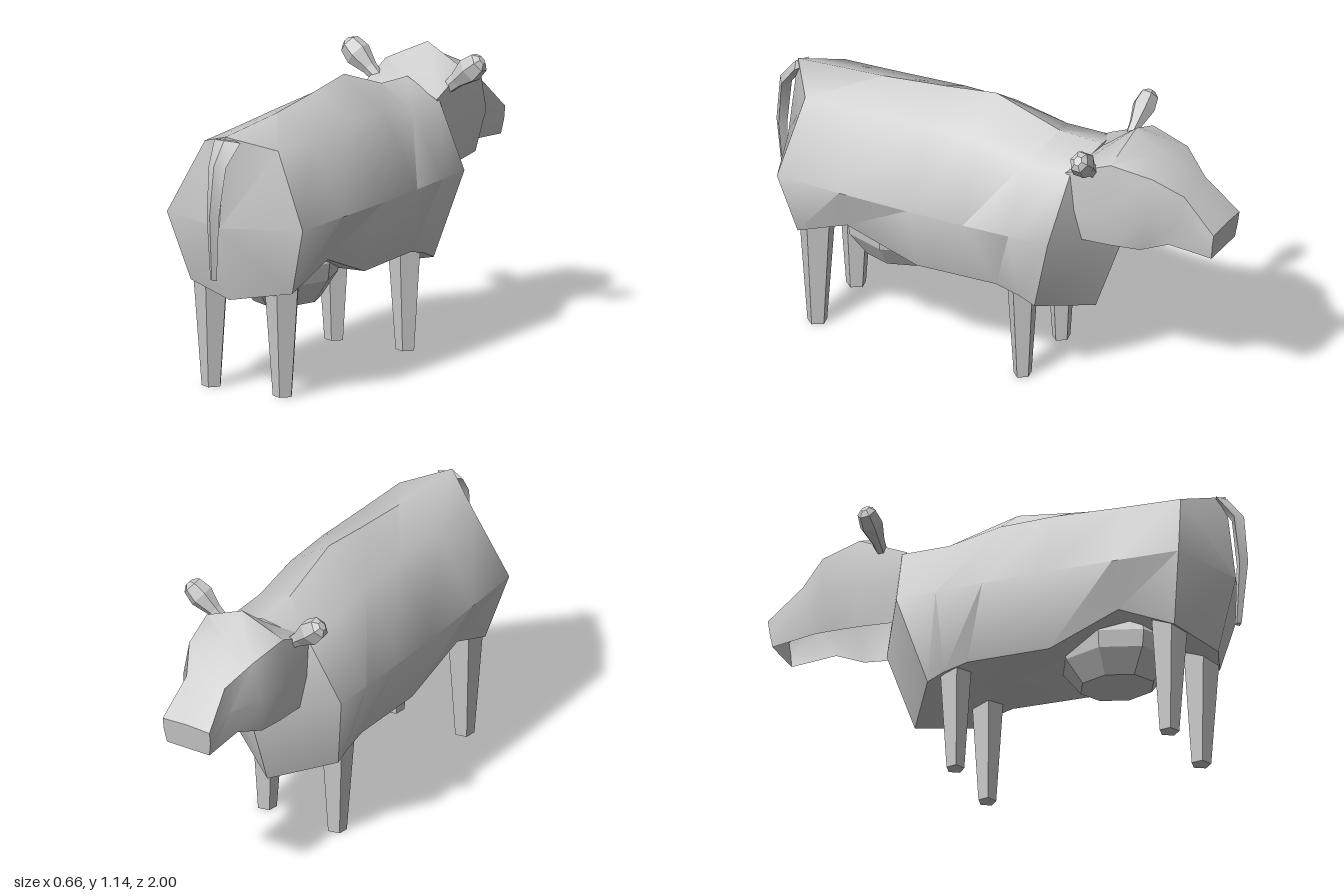
import * as THREE from 'three';
import { toCreasedNormals } from 'three/addons/utils/BufferGeometryUtils.js';

const grey = new THREE.MeshStandardMaterial({ color: 0xcccccc, side: THREE.DoubleSide });
const greyFlat = new THREE.MeshStandardMaterial({ color: 0xcccccc, side: THREE.DoubleSide, flatShading: true });

// Half section (x >= 0, top to bottom) mirrored into a full ring
const mirror = half => [
  ...half.filter(p => p[0] > 0).reverse().map(([x, y, z]) => [-x, y, z]),
  ...half,
];

// Skin between successive rings, with optional fan caps to a centre point
function loft(rings, { closed = true, startCap, endCap } = {}) {
  const n = rings[0].length;
  const pos = [];
  const tri = (...pts) => pts.forEach(p => pos.push(...p));
  for (let i = 0; i < rings.length - 1; i++) {
    for (let j = 0; j < (closed ? n : n - 1); j++) {
      const k = (j + 1) % n;
      const a = rings[i][j], b = rings[i][k], c = rings[i + 1][j], d = rings[i + 1][k];
      tri(a, b, c);
      tri(b, d, c);
    }
  }
  const first = rings[0], last = rings[rings.length - 1];
  for (let j = 0; j < n; j++) {
    const k = (j + 1) % n;
    if (startCap) tri(startCap, first[k], first[j]);
    if (endCap) tri(endCap, last[j], last[k]);
  }
  const g = new THREE.BufferGeometry();
  g.setAttribute('position', new THREE.Float32BufferAttribute(pos, 3));
  return toCreasedNormals(g, 0.78);
}

export function createModel() {
  const model = new THREE.Group();
  const add = (name, geometry, material = grey) => {
    const mesh = new THREE.Mesh(geometry, material);
    mesh.name = name;
    model.add(mesh);
    return mesh;
  };

  // Body: sections from rump to chest (ridge, shoulder, flank, lower edge, belly)
  const body = [
    [[0, 1.06, 0.9], [0.17, 1.0, 0.78], [0.315, 0.705, 0.83], [0.235, 0.43, 0.78], [0, 0.395, 0.87]],
    [[0, 1.08, 0.52], [0.175, 1.005, 0.54], [0.325, 0.705, 0.55], [0.255, 0.525, 0.55], [0, 0.52, 0.55]],
    [[0, 1.107, 0.25], [0.18, 1.015, 0.25], [0.33, 0.705, 0.25], [0.24, 0.415, 0.25], [0, 0.41, 0.25]],
    [[0, 1.135, 0.02], [0.18, 1.01, 0.02], [0.328, 0.705, 0], [0.235, 0.42, -0.1], [0, 0.42, -0.1]],
    [[0, 1.04, -0.26], [0.18, 0.965, -0.2], [0.322, 0.705, -0.2], [0.235, 0.395, -0.2], [0, 0.38, -0.24]],
    [[0, 1.03, -0.45], [0.18, 0.965, -0.4], [0.315, 0.705, -0.37], [0.235, 0.365, -0.27], [0, 0.29, -0.42]],
  ];
  add('body', loft(body.map(mirror), { startCap: [0, 0.7, 0.945], endCap: [0, 0.62, -0.54] }));

  // Head: shell open at the neck and under the jaw
  const head = [
    [[0, 1.02, -0.45], [0.18, 0.97, -0.38], [0.185, 0.81, -0.41], [0.17, 0.68, -0.44]],
    [[0, 1.14, -0.6], [0.18, 1.055, -0.58], [0.195, 0.86, -0.58], [0.17, 0.688, -0.58]],
    [[0, 1.065, -0.72], [0.15, 1.02, -0.75], [0.185, 0.86, -0.74], [0.16, 0.695, -0.7]],
    [[0, 0.955, -0.86], [0.09, 0.94, -0.86], [0.105, 0.83, -0.85], [0.11, 0.72, -0.8]],
    [[0, 0.815, -1], [0.11, 0.81, -1], [0.11, 0.76, -0.993], [0.1, 0.7, -0.985]],
  ];
  add('head', loft(head.map(mirror), { closed: false, endCap: [0, 0.75, -0.992] }));

  // Ears: six-sided bulbs leaning outward
  const earProfile = [[0, 0], [0.025, 0], [0.032, 0.06], [0.056, 0.135], [0.045, 0.19], [0.02, 0.208], [0, 0.208]]
    .map(([r, y]) => new THREE.Vector2(r, y));
  for (const side of [1, -1]) {
    const ear = add(side > 0 ? 'leftEar' : 'rightEar', new THREE.LatheGeometry(earProfile, 6), greyFlat);
    ear.position.set(side * 0.155, 0.99, -0.49);
    ear.rotation.z = -side * 0.87;
    ear.rotation.x = -0.1;
    ear.scale.z = 0.85;
  }

  // Tail: diamond sections [x, y, z, half width, half depth]
  const tail = [
    [0, 1.04, 0.885, 0.06, 0.025],
    [-0.003, 0.95, 0.955, 0.04, 0.026],
    [-0.01, 0.75, 0.977, 0.028, 0.024],
    [-0.016, 0.49, 0.962, 0.015, 0.014],
  ].map(([x, y, z, w, d]) => [[x, y, z - d], [x + w, y, z], [x, y + d * 0.3, z + d], [x - w, y, z]]);
  add('tail', loft(tail, { startCap: [0, 1.05, 0.88], endCap: [-0.016, 0.49, 0.962] }));

  // Legs: tapered five-sided posts
  const legGeometry = new THREE.CylinderGeometry(0.082, 0.041, 0.56, 5);
  for (const [end, z] of [['hind', 0.73], ['front', -0.18]]) {
    for (const [side, x] of [['Left', 0.162], ['Right', -0.168]]) {
      const leg = add(end + side + 'Leg', legGeometry, greyFlat);
      leg.position.set(x, 0.28, z);
      leg.rotation.y = 0.2;
      if (end === 'front') leg.scale.z = 0.9;
    }
  }

  // Udder: faceted bowl hanging below the belly
  const udderProfile = [[0, 0.28], [0.155, 0.315], [0.23, 0.41], [0.24, 0.48], [0.2, 0.56]]
    .map(([r, y]) => new THREE.Vector2(r, y));
  const udder = add('udder', new THREE.LatheGeometry(udderProfile, 8), greyFlat);
  udder.position.z = 0.44;
  udder.scale.x = 0.82;

  return model;
}
